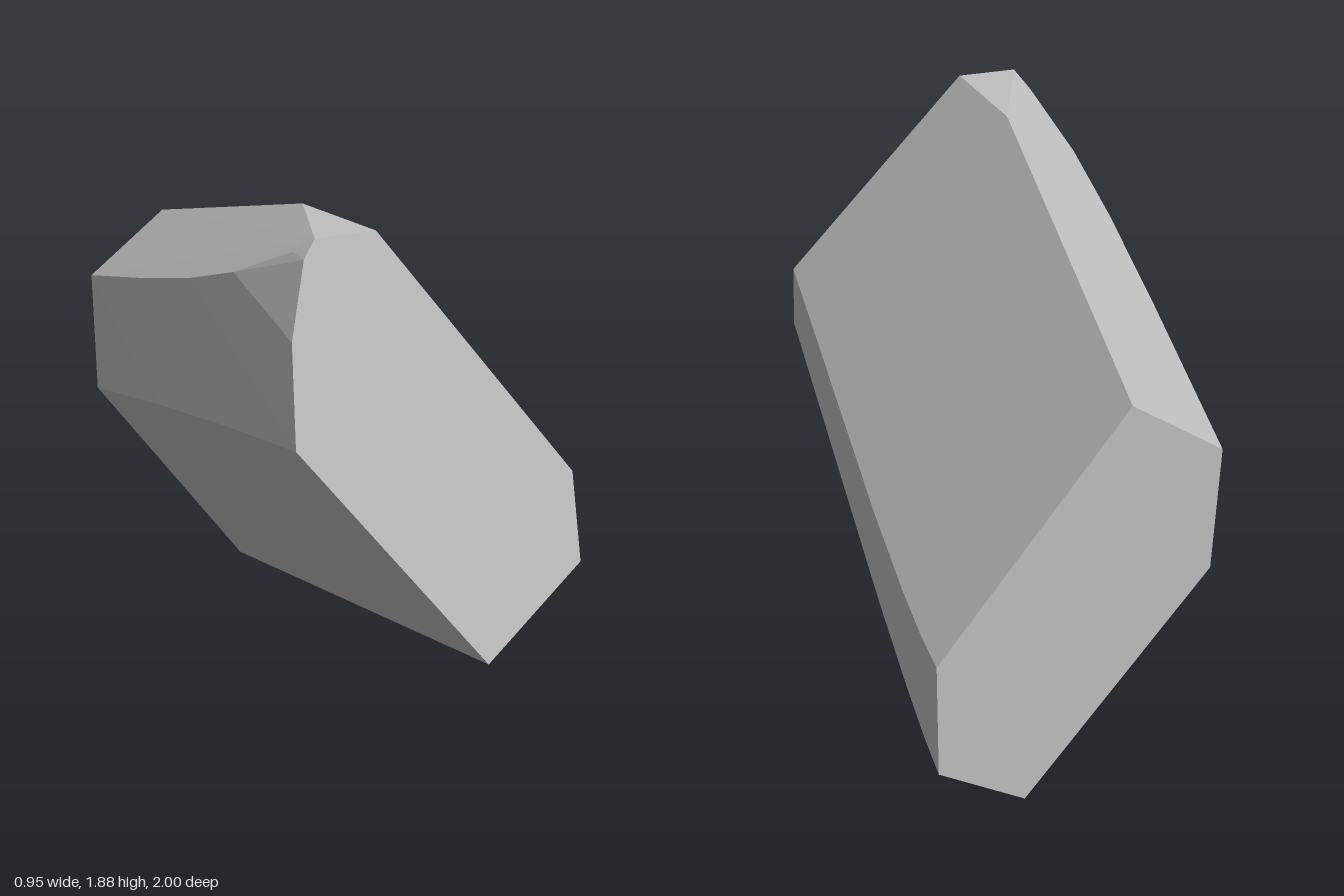
import * as THREE from 'three';
import { ConvexGeometry } from 'three/addons/geometries/ConvexGeometry.js';

// Sloping facet planes of the block: y = base + sx * x + sz * (z + 1)
const upperLeft = { base: 1.66, sx: 0.733, sz: 0.28 };
const upperRight = { base: 1.335, sx: -1.433, sz: 0.22 };
const lowerLeft = { base: 0.221, sx: -1.44, sz: 0.2215 };
const lowerRight = { base: -0.103, sx: 0.72, sz: 0.28 };

// Point on a facet plane at a given x and z
const on = (p, x, z) => new THREE.Vector3(x, p.base + p.sx * x + p.sz * (z + 1), z);

// Point on the slanted front cut: z = 1.134 + 0.03 x - 0.26 y
const cut = (x, y) => new THREE.Vector3(x, y, 1.134 + 0.03 * x - 0.26 * y);

// Point where a facet plane meets the front cut
const onCut = (p, x) =>
  cut(x, (p.base + p.sx * x + p.sz * (2.134 + 0.03 * x)) / (1 + 0.26 * p.sz));

export function createModel() {
  const stone = new THREE.MeshStandardMaterial({ color: 0xbfbfbf });
  stone.name = 'grey stone';

  const points = [
    // flat back hexagon
    on(lowerRight, 0.15, -1), on(lowerRight, 0.447, -1), on(upperRight, 0.447, -1),
    on(upperRight, -0.15, -1), on(upperLeft, -0.45, -1), on(lowerLeft, -0.45, -1),

    // slanted front cut
    cut(-0.33, 1.88), cut(-0.13, 1.88),
    onCut(upperRight, 0.472), onCut(lowerRight, 0.472), onCut(lowerRight, 0.1),
    onCut(lowerLeft, -0.468), cut(-0.44, 1.6), cut(-0.372, 1.825),

    // end of the top ridge
    new THREE.Vector3(-0.185, 1.88, 0.27),

    // rounded upper left edge
    on(upperLeft, -0.463, -0.4), on(upperLeft, -0.462, 0),
    on(upperLeft, -0.44, 0.3), on(upperLeft, -0.37, 0.57),

    // slightly bowed left side
    on(lowerLeft, -0.475, 0.33), on(lowerLeft, -0.47, -0.3),
  ];

  // slightly bowed right side
  for (const [x, z] of [[0.472, -0.35], [0.466, -0.68], [0.458, -0.87]]) {
    points.push(on(upperRight, x, z), on(lowerRight, x, z));
  }

  const rock = new THREE.Mesh(new ConvexGeometry(points), stone);
  rock.name = 'rockBlock';

  const group = new THREE.Group();
  group.name = 'rock';
  group.add(rock);
  return group;
}
